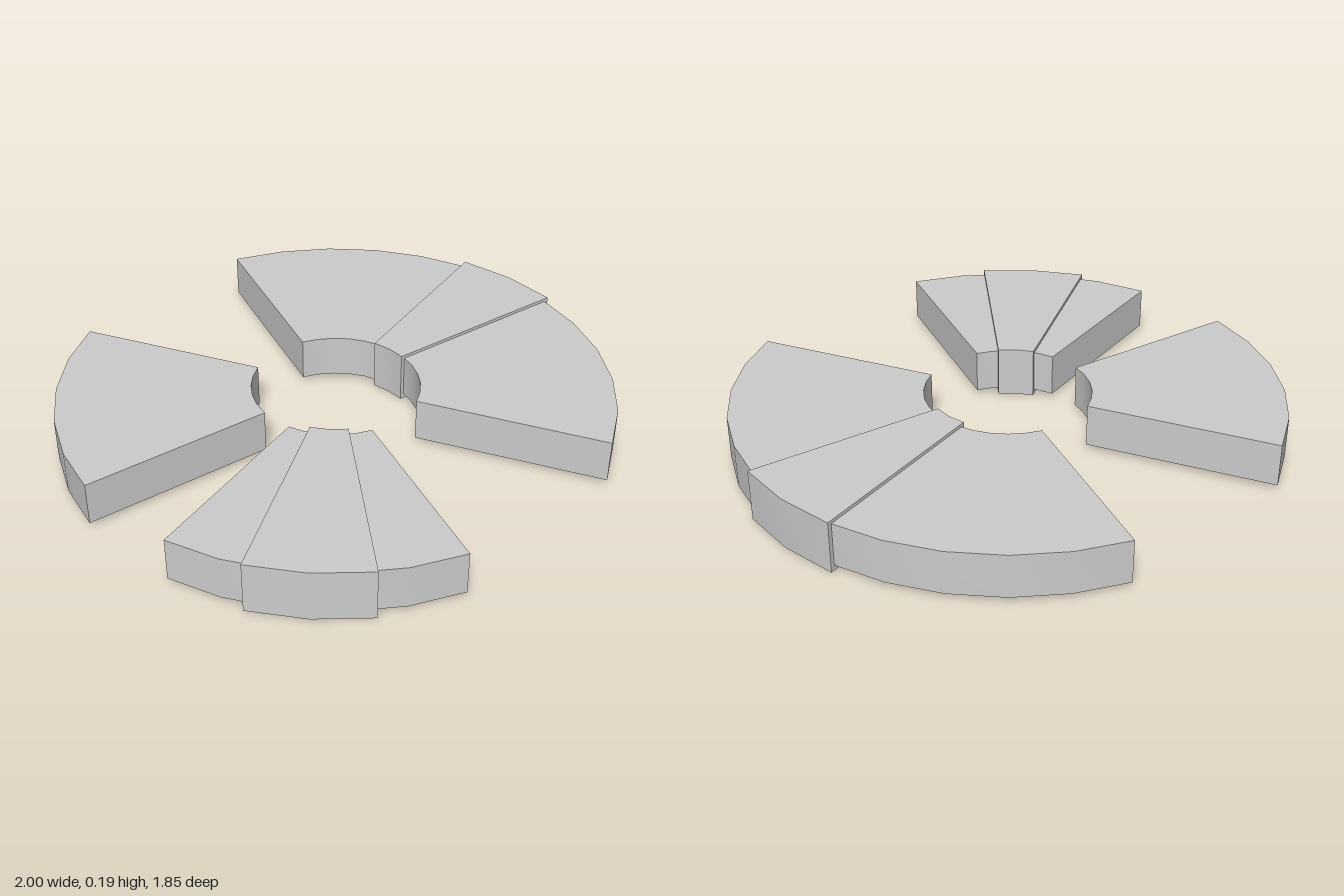
import * as THREE from 'three';
import { toCreasedNormals } from 'three/addons/utils/BufferGeometryUtils.js';

const CENTER_X = -0.018;
const STEP = 11.25; // degrees per arc segment
const rad = THREE.MathUtils.degToRad;

// Ring sector between two angles (degrees, counter-clockwise seen from above);
// "grow" shifts its straight sides outward, parallel to themselves.
function sector(name, from, to, inner, outer, bottom, top, grow = 0) {
  const n = Math.round((to - from) / STEP);
  const arc = (r) => {
    const extra = Math.asin(grow / r);
    const a = rad(from) - extra;
    const b = rad(to) + extra;
    return Array.from({ length: n + 1 }, (_, i) => {
      const t = a + ((b - a) * i) / n;
      return new THREE.Vector2(r * Math.cos(t), r * Math.sin(t));
    });
  };
  const shape = new THREE.Shape([...arc(outer), ...arc(inner).reverse()]);
  const geo = new THREE.ExtrudeGeometry(shape, { depth: top - bottom, bevelEnabled: false });
  geo.rotateX(-Math.PI / 2);
  geo.translate(CENTER_X, bottom, 0);
  const mesh = new THREE.Mesh(
    toCreasedNormals(geo, rad(35)),
    new THREE.MeshStandardMaterial({ color: 0xcccccc })
  );
  mesh.name = name;
  return mesh;
}

export function createModel() {
  const group = new THREE.Group();
  group.name = 'segmentedRing';

  // Main ring sectors, separated by open gaps
  const ring = (name, from, to) => sector(name, from, to, 0.304, 1.0, 0.019, 0.178);
  group.add(
    ring('leftSector', -67.5, 67.5),
    ring('rightBackSector', 112.5, 168.75),
    ring('rightFrontSector', 191.25, 247.5)
  );

  // Slightly larger wedges wrapped around the sectors
  const wedge = (name, mid) =>
    sector(name, mid - STEP, mid + STEP, 0.29, 1.015, 0, 0.19, 0.01);
  group.add(wedge('leftWedge', 0), wedge('rightFrontWedge', 218.75));

  return group;
}
